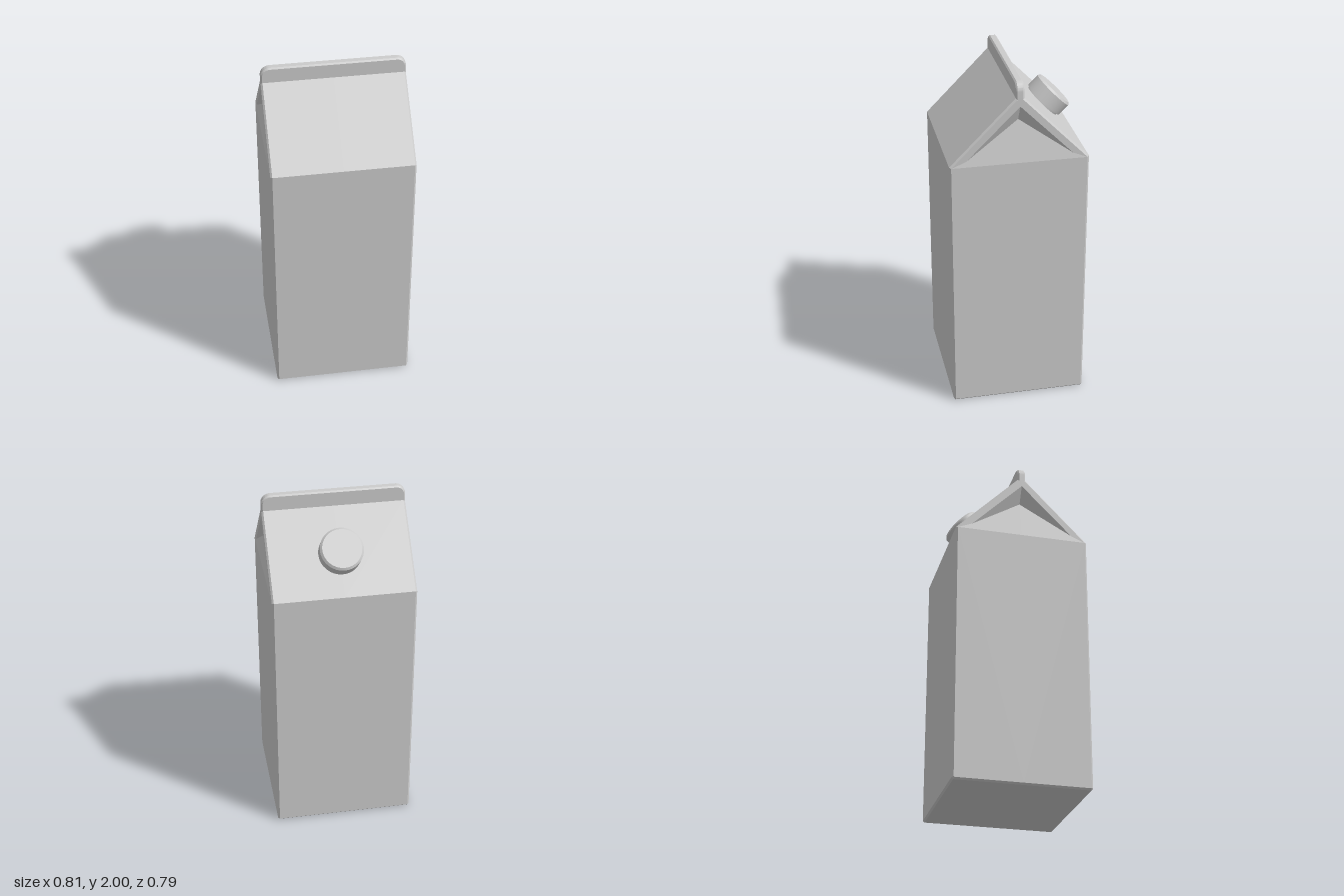
import * as THREE from 'three';
import { toCreasedNormals } from 'three/addons/utils/BufferGeometryUtils.js';

const W = 0.405; // half width
const grey = new THREE.MeshStandardMaterial({ color: 0xcccccc });
const flatGrey = new THREE.MeshStandardMaterial({ color: 0xcccccc, flatShading: true });

// Carton shell: one quarter is described and mirrored in x and z
function cartonGeometry() {
  const pos = [];
  // Half outlines [z, y] from the middle of the base to the ridge
  const outer = [[0, 0], [0.383, 0], [0.393, 0.01], [0.393, 1.535], [0.022, 1.912], [0, 1.912]];
  const inner = [[0, 0.01], [0.379, 0.01], [0.383, 0.014], [0.383, 1.531], [0.018, 1.902], [0, 1.902]];
  const loop = (outline, x) => outline.map(([z, y]) => [x, y, z]);
  const loops = [loop(outer, 0), loop(outer, W - 0.01), loop(inner, W)];

  for (const sx of [1, -1]) for (const sz of [1, -1]) {
    const fan = (...p) => {
      for (let i = 1; i < p.length - 1; i++) {
        const t = [p[0], p[i], p[i + 1]];
        if (sx * sz < 0) t.reverse();
        t.forEach(([x, y, z]) => pos.push(x * sx, y, z * sz));
      }
    };
    // Front wall, roof panel and base, with chamfers toward the side
    for (let k = 0; k < 2; k++) {
      const a = loops[k], b = loops[k + 1];
      for (let i = 0; i < a.length - 1; i++) fan(a[i], b[i], b[i + 1], a[i + 1]);
    }
    const [base, foot, heel, eave, shoulder, ridge] = loops[2];
    const eaveMid = [W, 1.531, 0];
    const foldEnd = [W, 1.565, 0.3];
    const foldTop = [W, 1.865, 0];
    const foldIn = [W - 0.055, 1.77, 0];
    fan(base, eaveMid, eave, heel, foot);          // side wall
    fan(eave, eaveMid, foldIn, foldEnd);           // leaning gusset
    fan(foldIn, foldTop, foldEnd);                 // inward fold under the roof
    fan(foldEnd, foldTop, ridge, shoulder, eave);  // rim of the roof panel
  }
  const g = new THREE.BufferGeometry();
  g.setAttribute('position', new THREE.Float32BufferAttribute(pos, 3));
  g.computeVertexNormals();
  return g;
}

// Upright sealed strip along the ridge, rounded at its upper corners
function sealGeometry() {
  const bevel = 0.008, w = W - bevel, top = 2 - bevel, bottom = 1.908, r = 0.045;
  const s = new THREE.Shape();
  s.moveTo(-w, bottom);
  s.lineTo(w, bottom);
  s.lineTo(w, top - r);
  s.absarc(w - r, top - r, r, 0, Math.PI / 2);
  s.absarc(-w + r, top - r, r, Math.PI / 2, Math.PI);
  s.closePath();
  const g = new THREE.ExtrudeGeometry(s, {
    depth: 0.03, bevelEnabled: true, bevelThickness: bevel, bevelSize: bevel,
    bevelSegments: 1, curveSegments: 6,
  });
  g.translate(0, 0, -0.015);
  return toCreasedNormals(g, 0.5);
}

function lathe(points) {
  const g = new THREE.LatheGeometry(points.map(([x, y]) => new THREE.Vector2(x, y)), 32);
  return toCreasedNormals(g, 0.4);
}

export function createModel() {
  const model = new THREE.Group();
  model.name = 'carton';
  const add = (parent, name, geometry, material) => {
    const mesh = new THREE.Mesh(geometry, material);
    mesh.name = name;
    parent.add(mesh);
    return mesh;
  };
  add(model, 'cartonBody', cartonGeometry(), flatGrey);
  add(model, 'topSeal', sealGeometry(), grey);

  // Screw cap square to the back roof panel
  const spout = new THREE.Group();
  spout.name = 'spout';
  spout.position.set(0, 1.711, -0.214);
  spout.rotation.x = -Math.PI / 4;
  add(spout, 'neck', lathe([[0.11, -0.01], [0.11, 0.02]]), grey);
  add(spout, 'cap', lathe([[0, 0.015], [0.122, 0.015], [0.122, 0.093], [0.11, 0.105], [0, 0.105]]), grey);
  model.add(spout);
  return model;
}
